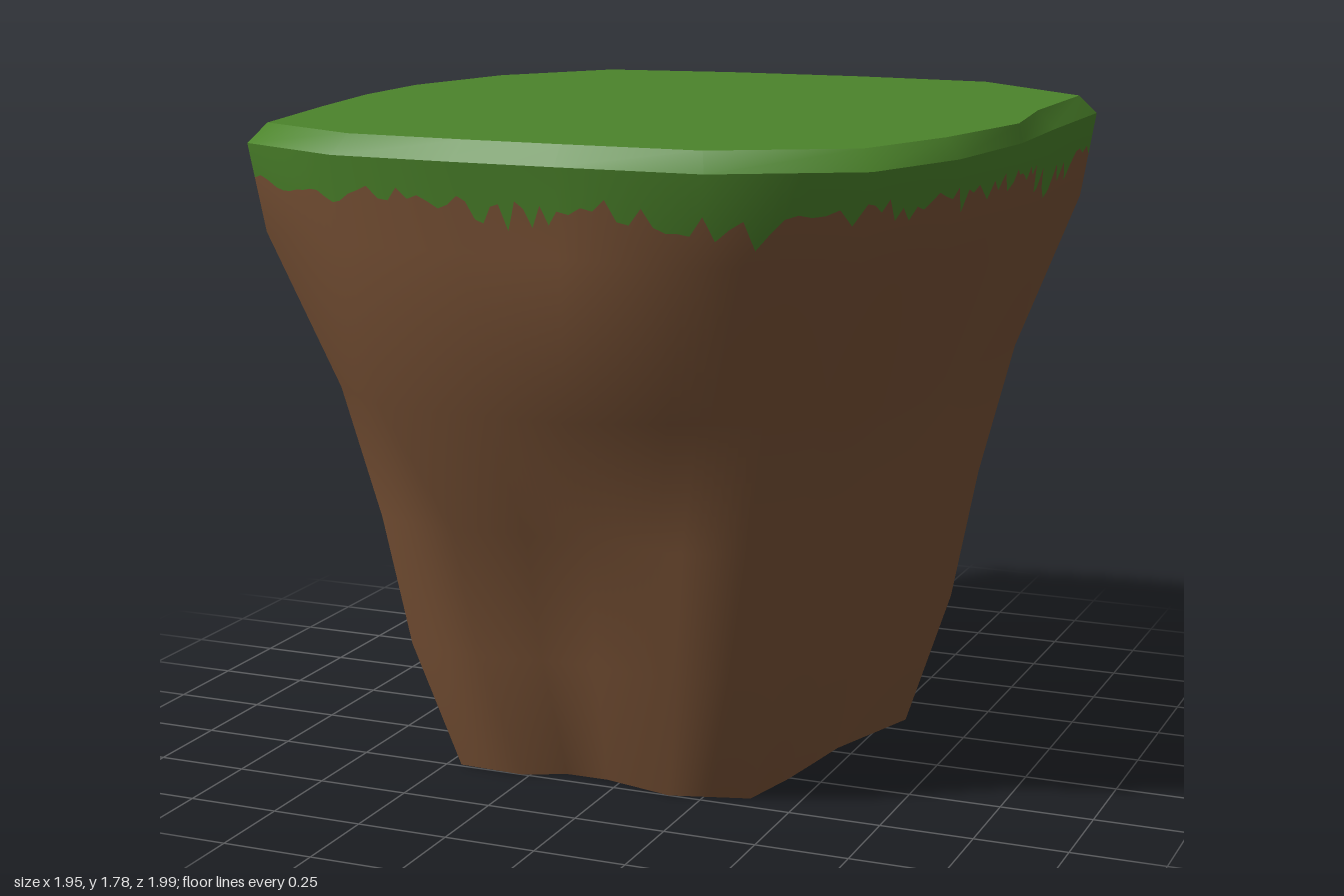
import * as THREE from 'three';

// Spokes around the block: [top x, top z, foot x, foot z, front bulge]
const SPOKES = [
  [-0.63, -0.92, -0.36, -0.45], [-0.24, -0.98, -0.14, -0.47], [0.18, -1.0, 0.08, -0.48],
  [0.60, -0.98, 0.32, -0.52], [0.97, -0.68, 0.55, -0.34], [0.965, -0.24, 0.45, -0.03],
  [0.97, 0.10, 0.43, 0.12], [0.92, 0.48, 0.41, 0.26], [0.80, 0.79, 0.37, 0.44],
  [0.45, 0.98, 0.16, 0.50], [0.07, 0.99, -0.04, 0.45, 0.22], [-0.20, 0.99, -0.16, 0.45, 0.22],
  [-0.54, 0.98, -0.27, 0.50, 0.2], [-0.86, 0.84, -0.46, 0.49], [-0.93, 0.42, -0.44, 0.24],
  [-0.975, 0.08, -0.45, 0.08], [-0.975, -0.23, -0.47, -0.03], [-0.87, -0.61, -0.41, -0.16],
];
const N = SPOKES.length;
const LEVELS = [0, 0.36, 0.72, 1.08, 1.5, 1.73];
const FLARE = [0, 0.245, 0.385, 0.575, 0.92, 1];
const BULGE_LEVEL = 3;
const SUB = 12; // steps between spokes
const TOP = 1.78;

const wrap = (i) => (i + N) % N;

// Corner of the wall at a spoke and level
function corner(i, l) {
  const [tx, tz, fx, fz, bulge = 0] = SPOKES[wrap(i)];
  const t = FLARE[l] + (l === BULGE_LEVEL ? bulge : 0);
  return new THREE.Vector3(fx + (tx - fx) * t, LEVELS[l], fz + (tz - fz) * t);
}

// Smooth outward normal at that corner
function cornerNormal(i, l) {
  const up = corner(i, Math.min(l + 1, LEVELS.length - 1)).sub(corner(i, Math.max(l - 1, 0)));
  const around = corner(i + 1, l).sub(corner(i - 1, l));
  return up.cross(around).normalize();
}

// Blend a corner function to any place on the wall
function blend(fn, u, y) {
  const i = Math.floor(u), f = u - i;
  let l = 0;
  while (l < LEVELS.length - 2 && y > LEVELS[l + 1]) l++;
  const g = (y - LEVELS[l]) / (LEVELS[l + 1] - LEVELS[l]);
  const low = fn(i, l).lerp(fn(i + 1, l), f);
  return low.lerp(fn(i, l + 1).lerp(fn(i + 1, l + 1), f), g);
}

// Closed band; each row gives a height for every step around
function wallBand(rows) {
  const count = N * SUB, pos = [], nor = [], index = [];
  rows.forEach((heightAt, r) => {
    for (let s = 0; s < count; s++) {
      const y = heightAt(s);
      pos.push(...blend(corner, s / SUB, y).toArray());
      nor.push(...blend(cornerNormal, s / SUB, y).normalize().toArray());
      if (r === 0) continue;
      const next = (s + 1) % count, lo = (r - 1) * count, hi = r * count;
      index.push(lo + next, lo + s, hi + s, lo + next, hi + s, hi + next);
    }
  });
  const g = new THREE.BufferGeometry();
  g.setAttribute('position', new THREE.Float32BufferAttribute(pos, 3));
  g.setAttribute('normal', new THREE.Float32BufferAttribute(nor, 3));
  g.setIndex(index);
  return g;
}

// Ragged lower edge of the grass, with clusters of longer blades
function grassEdge() {
  let seed = 11;
  const rand = () => (seed = (seed * 16807) % 2147483647) / 2147483647;
  return Array.from({ length: N * SUB }, (_, s) => {
    const cluster = Math.max(0, Math.sin(s * 0.19) * Math.sin(s * 0.071 + 1));
    const blade = rand() < 0.3 + 0.3 * cluster ? 0.03 + 0.07 * cluster * rand() : 0;
    return 1.66 - 0.04 * rand() - 0.02 * cluster - blade;
  });
}

// Inner rim of the bevel
function rimPoint(i) {
  const [x, z] = SPOKES[wrap(i)];
  const k = i === 6 ? 0.99 : 0.955;
  return [x * k, z * 0.955];
}

function bevelGeometry() {
  const pos = [], index = [];
  SPOKES.forEach(([x, z], i) => {
    const [rx, rz] = rimPoint(i);
    pos.push(x, LEVELS[5], z, rx, TOP, rz);
    const a = 2 * i, b = 2 * wrap(i + 1);
    index.push(b, a, a + 1, b, a + 1, b + 1);
  });
  const g = new THREE.BufferGeometry();
  g.setAttribute('position', new THREE.Float32BufferAttribute(pos, 3));
  g.setIndex(index);
  g.computeVertexNormals();
  return g;
}

export function createModel() {
  const grass = new THREE.MeshStandardMaterial({ color: 0x4c842b, side: THREE.DoubleSide });
  grass.name = 'grass green';
  const earth = new THREE.MeshStandardMaterial({ color: 0x7c5437, side: THREE.DoubleSide });
  earth.name = 'earth brown';

  const group = new THREE.Group();
  group.name = 'grassyEarthBlock';
  const add = (name, geometry, material) => {
    const mesh = new THREE.Mesh(geometry, material);
    mesh.name = name;
    group.add(mesh);
  };

  const edge = grassEdge();
  const ragged = (s) => edge[s];
  const level = (y) => () => y;

  // Earth wall, open underneath
  add('earthWall', wallBand([...LEVELS.slice(0, 5).map(level), ragged]), earth);
  // Grass hanging over the wall
  add('grassFringe', wallBand([ragged, level(LEVELS[5])]), grass);
  // Bevelled rim and flat lawn
  add('grassRim', bevelGeometry(), grass);
  const lawn = new THREE.Shape(SPOKES.map((_, i) => {
    const [x, z] = rimPoint(i);
    return new THREE.Vector2(x, -z);
  }));
  add('lawn', new THREE.ShapeGeometry(lawn).rotateX(-Math.PI / 2).translate(0, TOP, 0), grass);
  return group;
}
